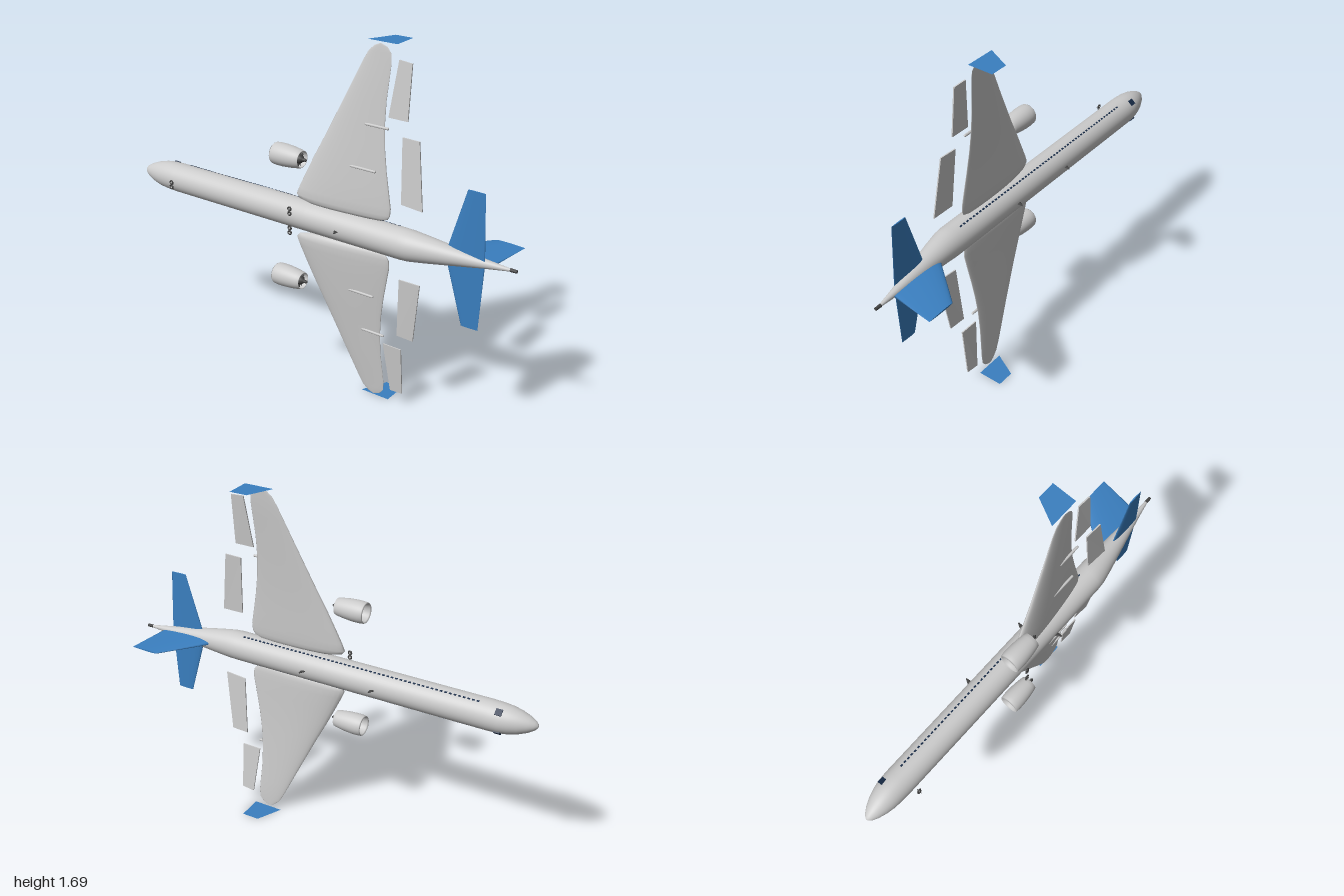
import * as THREE from 'three';

const mat = (color, extra = {}) => new THREE.MeshStandardMaterial({ color, ...extra });
const grey = mat(0xcccccc);
const shell = mat(0xcccccc, { side: THREE.DoubleSide });
const flat = mat(0xcccccc, { flatShading: true });
const blue = mat(0x3a7fc0);
const blueThin = mat(0x3a7fc0, { side: THREE.DoubleSide });
const dark = mat(0x444444);
const glass = mat(0x182c48);

// Skin a row of closed cross-sections and cap both ends, facing outwards.
function loft(sections) {
  const n = sections[0].length, pos = [], idx = [];
  sections.forEach(s => s.forEach(p => pos.push(...p)));
  for (let i = 0; i < sections.length - 1; i++) {
    for (let j = 0; j < n; j++) {
      const a = i * n + j, b = i * n + (j + 1) % n;
      idx.push(a, b, a + n, b, b + n, a + n);
    }
  }
  [0, sections.length - 1].forEach((row, end) => {
    const start = pos.length / 3;
    sections[row].forEach(p => pos.push(...p));
    for (let j = 1; j < n - 1; j++) {
      idx.push(start, start + (end ? j : j + 1), start + (end ? j + 1 : j));
    }
  });
  // A negative enclosed volume means the corners run the wrong way round
  const v = k => new THREE.Vector3().fromArray(pos, 3 * k);
  let volume = 0;
  for (let k = 0; k < idx.length; k += 3) volume += v(idx[k]).dot(v(idx[k + 1]).cross(v(idx[k + 2])));
  if (volume < 0) idx.reverse();
  const g = new THREE.BufferGeometry();
  g.setAttribute('position', new THREE.Float32BufferAttribute(pos, 3));
  g.setIndex(idx);
  g.computeVertexNormals();
  return g;
}

// Evenly spaced angles round a section
const ring = (n, fn) => Array.from({ length: n }, (_, i) => fn(i / n * Math.PI * 2));

function add(parent, name, geometry, material, x = 0, y = 0, z = 0) {
  const m = new THREE.Mesh(geometry, material);
  m.name = name;
  m.position.set(x, y, z);
  parent.add(m);
  return m;
}

// Wing stations: span, leading x, trailing x, height z, thickness
const wingStations = [
  [0.07, 0.06, 0.32, 0.075, 0.015], [0.075, 0.0, 0.37, 0.077, 0.032], [0.087, -0.05, 0.402, 0.078, 0.044],
  [0.105, -0.065, 0.413, 0.078, 0.05], [0.14, -0.052, 0.415, 0.076, 0.05], [0.21, -0.02, 0.402, 0.072, 0.045],
  [0.3, 0.022, 0.385, 0.066, 0.038], [0.4, 0.072, 0.37, 0.058, 0.031], [0.5, 0.119, 0.362, 0.049, 0.025],
  [0.6, 0.166, 0.362, 0.04, 0.019], [0.7, 0.212, 0.369, 0.03, 0.014], [0.76, 0.24, 0.373, 0.024, 0.01],
  [0.8, 0.262, 0.37, 0.021, 0.007], [0.825, 0.288, 0.35, 0.019, 0.005], [0.835, 0.31, 0.325, 0.018, 0.003],
];

function wing(side) {
  return loft(wingStations.map(([s, x0, x1, z, t]) => ring(32, a => {
    const c = Math.cos(a), mid = (x0 + x1) / 2, half = (x1 - x0) / 2;
    return [mid + half * c, side * s, z - 0.012 * c * half / 0.24 + t / 2 * Math.sin(a) * (1 - 0.4 * c)];
  })));
}

// Tapered tail surface; place(x, out, thick) sets its direction
function tailSurface(root, tip, place) {
  return loft([root, tip].map(([x0, x1, out, t]) => ring(20, a => {
    const c = Math.cos(a);
    return place((x0 + x1) / 2 + (x1 - x0) / 2 * c, out, t / 2 * Math.sin(a) * (1 - 0.5 * c));
  })));
}

// Flat panel from four corners, thickened along z
function panel(corners, side, t) {
  return loft([-t / 2, t / 2].map(d => corners.map(([x, s, z]) => [x, side * s, z + d])));
}

function engine() {
  const g = new THREE.Group();
  g.name = 'engine';
  const profile = [[0.036, -0.09], [0.039, -0.12], [0.043, -0.138], [0.046, -0.145], [0.049, -0.14], [0.051, -0.12],
    [0.051, -0.09], [0.048, -0.05], [0.043, -0.015], [0.039, 0.003], [0.036, 0.003], [0.036, -0.09]];
  const lathe = (pts, n) => new THREE.LatheGeometry(pts.map(p => new THREE.Vector2(...p)), n).rotateZ(-Math.PI / 2);
  add(g, 'nacelle', lathe(profile, 40), shell);
  // Core with a spinner in front and the exhaust spike behind
  const core = [[0, -0.125], [0.008, -0.115], [0.013, -0.1], [0.022, -0.06], [0.02, -0.005], [0.01, 0.006],
    [0.007, 0.016], [0.007, 0.022], [0, 0.03]];
  add(g, 'engineCore', lathe(core, 20), dark);
  for (const x of [-0.1, -0.02]) {
    for (let i = 0; i < 16; i++) {
      const geo = new THREE.BoxGeometry(0.014, 0.03, 0.0025).rotateY(0.5).translate(0, 0.023, 0);
      add(g, 'fanBlade', geo, dark, x).rotation.x = i * Math.PI / 8;
    }
  }
  return g;
}

function wheel() {
  const g = new THREE.Group();
  g.name = 'wheel';
  add(g, 'tyre', new THREE.TorusGeometry(0.008, 0.0035, 8, 20), dark);
  add(g, 'hub', new THREE.CylinderGeometry(0.004, 0.004, 0.006, 10).rotateX(Math.PI / 2), grey);
  return g;
}

export function createModel() {
  const model = new THREE.Group();
  model.name = 'airliner';
  const plane = new THREE.Group();
  plane.name = 'airframe';
  plane.position.y = 0.843;
  model.add(plane);

  // Fuselage: x, radius, centre z
  const body = [[-1, 0.001, 0.08], [-0.997, 0.01, 0.08], [-0.985, 0.022, 0.079], [-0.96, 0.037, 0.077],
    [-0.92, 0.053, 0.074], [-0.88, 0.063, 0.072], [-0.84, 0.068, 0.07], [-0.79, 0.07, 0.07], [0, 0.07, 0.07],
    [0.49, 0.07, 0.07], [0.53, 0.068, 0.0685], [0.6, 0.059, 0.062], [0.75, 0.037, 0.047], [0.88, 0.018, 0.034],
    [0.975, 0.006, 0.025]];
  add(plane, 'fuselage', loft(body.map(([x, r, z]) =>
    ring(48, a => [x, r * Math.cos(a), z + r * Math.sin(a)]))), grey);
  add(plane, 'tailExhaust', new THREE.CylinderGeometry(0.007, 0.008, 0.03, 12).rotateZ(-Math.PI / 2), dark, 0.985, 0, 0.025);

  // Vertical fin
  add(plane, 'fin', tailSurface([0.61, 0.9, 0.025, 0.03], [0.785, 0.925, -0.195, 0.007],
    (x, out, t) => [x, t, out]), blue);

  // Aerials above and below
  for (const [x, z, dir] of [[-0.25, 0.002, -1], [0.105, 0.002, -1], [0.185, 0.138, 1]]) {
    add(plane, 'aerial', tailSurface([x - 0.014, x + 0.01, z, 0.006], [x + 0.002, x + 0.008, z + dir * 0.027, 0.002],
      (px, out, t) => [px, t, out]), dark);
  }

  for (const side of [1, -1]) {
    add(plane, 'wing', wing(side), grey);
    add(plane, 'tailplane', tailSurface([0.68, 0.866, 0.005, 0.014], [0.77, 0.85, 0.312, 0.005],
      (x, out, t) => [x, side * out, 0.048 + t]), blue);

    // Winglet, a thin upright plate
    const plate = new THREE.Shape([[0.25, 0.015], [0.31, -0.105], [0.395, -0.105], [0.395, 0.015]]
      .map(p => new THREE.Vector2(...p)));
    add(plane, 'winglet', new THREE.ShapeGeometry(plate).rotateX(Math.PI / 2), blueThin, 0, side * 0.843);

    // Flaps
    add(plane, 'innerFlap', panel([[0.455, 0.467, 0.05], [0.54, 0.467, 0.054], [0.578, 0.172, 0.077], [0.47, 0.177, 0.07]],
      side, 0.006), flat);
    add(plane, 'outerFlap', panel([[0.41, 0.782, 0.02], [0.475, 0.777, 0.023], [0.475, 0.537, 0.045], [0.38, 0.537, 0.044]],
      side, 0.006), flat);

    // Flap track fairings
    for (const [x, s, z, len] of [[0.278, 0.297, 0.08, 0.135], [0.33, 0.491, 0.056, 0.12]]) {
      const fairing = new THREE.CapsuleGeometry(0.006, len - 0.012, 4, 10).rotateZ(Math.PI / 2);
      add(plane, 'flapFairing', fairing, grey, x, side * s, z);
    }

    const e = engine();
    e.position.set(0, side * 0.295, 0.14);
    plane.add(e);

    // Wheels: one at the nose and two main wheels each side
    for (const [x, s] of [[-0.76, 0.012], [-0.05, 0.035], [-0.05, 0.058]]) {
      const w = wheel();
      w.position.set(x, side * s, 0.166);
      plane.add(w);
    }
    add(plane, 'mainAxle', new THREE.CylinderGeometry(0.002, 0.002, 0.045, 8), dark, -0.05, side * 0.046, 0.166);

    // Windows, laid against the curved side
    const angle = Math.asin(0.025 / 0.07);
    for (let i = 0; i < 56; i++) {
      const win = add(plane, 'window', new THREE.BoxGeometry(0.012, 0.002, 0.008), glass,
        -0.735 + i * 0.0215, side * 0.07 * Math.cos(angle), 0.045);
      win.rotation.x = -side * angle;
    }
    const cockpit = add(plane, 'cockpitWindow', new THREE.BoxGeometry(0.03, 0.006, 0.03), glass,
      -0.838, side * 0.051, 0.025);
    cockpit.rotation.x = -side * 0.72;
  }
  add(plane, 'noseStrut', new THREE.CylinderGeometry(0.002, 0.002, 0.026, 8).rotateX(Math.PI / 2), dark, -0.76, 0, 0.166);
  return model;
}
